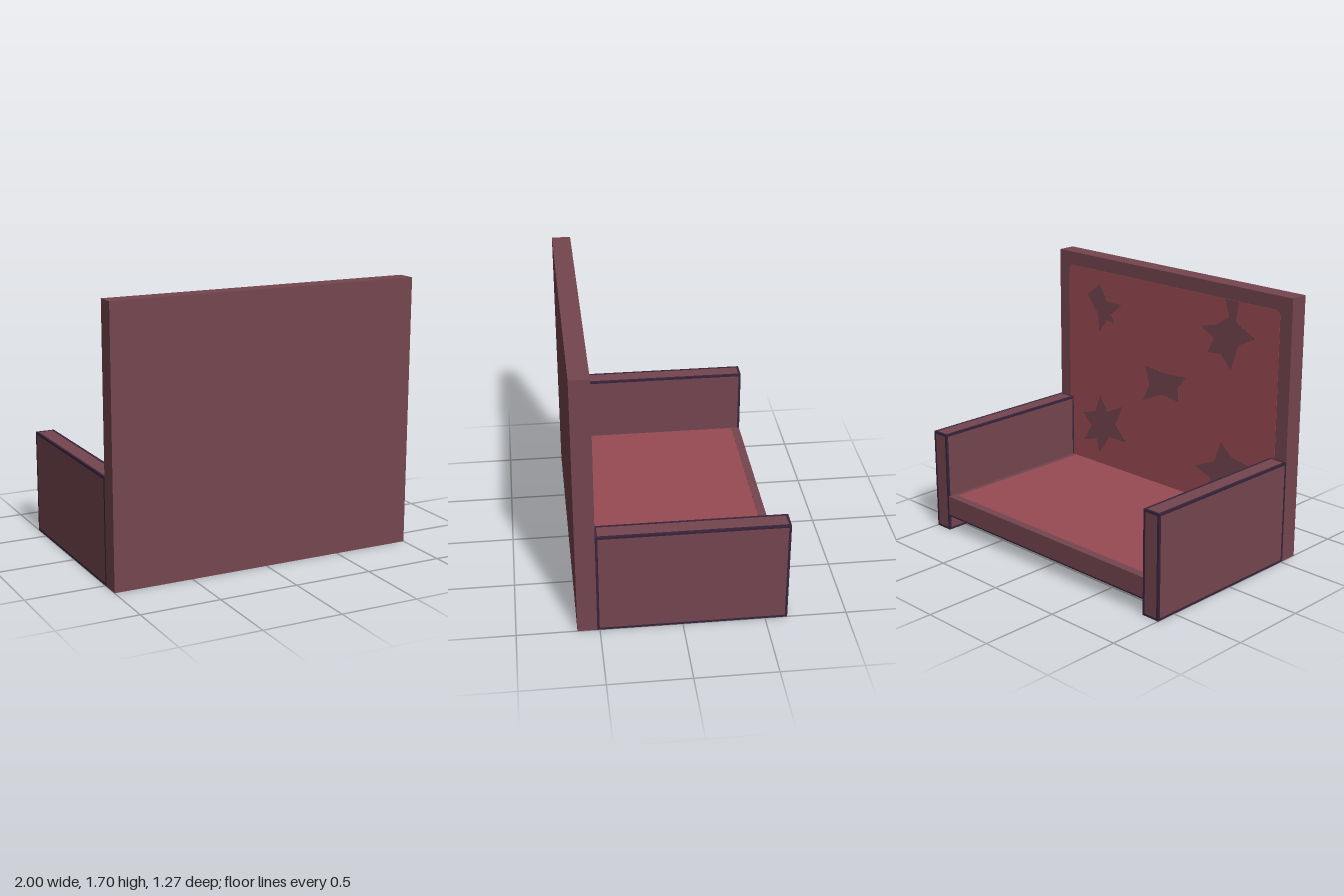
import * as THREE from 'three';

const mat = (name, color) => Object.assign(new THREE.MeshStandardMaterial({ color }), { name });

export function createModel() {
  const frame = mat('plum frame', 0x74454f);
  const cloth = mat('rose cloth', 0x994b54);
  const trim = mat('dark trim', 0x38243a);
  const straw = mat('straw yellow', 0xcfc478);
  const root = new THREE.Group();
  root.name = 'bench';

  // Box given by its minimum and maximum corners
  const box = (name, m, [x0, y0, z0], [x1, y1, z1], parent = root) => {
    const mesh = new THREE.Mesh(new THREE.BoxGeometry(x1 - x0, y1 - y0, z1 - z0), m);
    mesh.position.set((x0 + x1) / 2, (y0 + y1) / 2, (z0 + z1) / 2);
    mesh.name = name;
    parent.add(mesh);
    return mesh;
  };

  // Dark bars along all twelve edges of a box
  const edgeTrim = (name, lo, hi, w) => {
    const g = new THREE.Group();
    g.name = name;
    const e = 0.001;
    for (let axis = 0; axis < 3; axis++) {
      const a = (axis + 1) % 3, b = (axis + 2) % 3;
      for (const sa of [0, 1]) for (const sb of [0, 1]) {
        const p = [0, 0, 0], q = [0, 0, 0];
        p[axis] = lo[axis]; q[axis] = hi[axis];
        p[a] = sa ? hi[a] - w : lo[a] - e; q[a] = sa ? hi[a] + e : lo[a] + w;
        p[b] = sb ? hi[b] - w : lo[b] - e; q[b] = sb ? hi[b] + e : lo[b] + w;
        // Keep the feet on the ground
        p[1] = Math.max(p[1], 0);
        box('trimBar', trim, p, q, g);
      }
    }
    root.add(g);
  };

  // Thin plate on the seat side of the backrest
  const BACK_Z = 0.515;
  const plate = (name, m, shape, depth) => {
    const mesh = new THREE.Mesh(
      new THREE.ExtrudeGeometry(shape, { depth, bevelEnabled: false, curveSegments: 4 }), m);
    mesh.position.z = BACK_Z - depth;
    mesh.name = name;
    root.add(mesh);
  };
  const polygon = pts => new THREE.Shape(pts.map(([x, y]) => new THREE.Vector2(x, y)));
  const roundedRect = (x0, y0, x1, y1, r) => {
    const s = new THREE.Shape();
    s.absarc(x1 - r, y1 - r, r, 0, Math.PI / 2);
    s.absarc(x0 + r, y1 - r, r, Math.PI / 2, Math.PI);
    s.absarc(x0 + r, y0 + r, r, Math.PI, Math.PI * 1.5);
    s.absarc(x1 - r, y0 + r, r, Math.PI * 1.5, Math.PI * 2);
    return s;
  };

  // Backrest with its cloth panel
  box('backrest', frame, [-1, 0, BACK_Z], [1, 1.7, 0.635]);
  plate('backCloth', cloth, roundedRect(-0.91, 0.11, 0.91, 1.61, 0.04), 0.002);

  // Ragged star patches on the cloth
  const patches = [
    [[0.73, 1.43], [0.61, 1.52], [0.54, 1.41], [0.41, 1.41], [0.51, 1.33], [0.465, 1.27],
      [0.55, 1.28], [0.62, 1.19], [0.63, 1.31]],
    [[-0.29, 1.40], [-0.41, 1.43], [-0.52, 1.5], [-0.48, 1.61], [-0.595, 1.61], [-0.57, 1.48],
      [-0.73, 1.40], [-0.595, 1.33], [-0.54, 1.16], [-0.46, 1.25], [-0.35, 1.24], [-0.4, 1.34]],
    [[0.19, 1.04], [0.03, 1.02], [-0.17, 1.03], [-0.1, 0.95], [-0.11, 0.85], [0.04, 0.87],
      [0.21, 0.79], [0.15, 0.91]],
    [[0.61, 0.74], [0.54, 0.63], [0.4, 0.7], [0.465, 0.56], [0.36, 0.45], [0.53, 0.45],
      [0.62, 0.31], [0.65, 0.41], [0.775, 0.37], [0.7, 0.49], [0.78, 0.57], [0.66, 0.61]],
    [[-0.48, 0.67], [-0.57, 0.59], [-0.79, 0.55], [-0.68, 0.43], [-0.72, 0.25], [-0.56, 0.33],
      [-0.36, 0.27], [-0.4, 0.4], [-0.26, 0.45], [-0.43, 0.525]],
  ];
  for (const pts of patches) plate('starPatch', frame, polygon(pts), 0.004);

  // Straw showing low down beneath the seat
  plate('strawPatch', straw, polygon([[0.63, 0.12], [-0.94, 0.125], [-0.94, 0.003], [-0.17, 0.003],
    [0.1, 0.04], [0.4, 0.07], [0.63, 0.1]]), 0.005);

  // Armrests
  for (const s of [-1, 1]) {
    const lo = [s < 0 ? -1 : 0.88, 0, -0.635], hi = [s < 0 ? -0.88 : 1, 0.665, BACK_Z];
    box(s > 0 ? 'leftArm' : 'rightArm', frame, lo, hi);
    edgeTrim(s > 0 ? 'leftArmTrim' : 'rightArmTrim', lo, hi, 0.014);
  }

  // Seat, its plain border, and the front rail
  box('seat', cloth, [-0.88, 0.225, -0.615], [0.88, 0.235, BACK_Z]);
  box('seatFrontBorder', frame, [-0.88, 0.233, -0.62], [0.88, 0.237, -0.58]);
  box('seatSideBorder', frame, [0.855, 0.233, -0.58], [0.88, 0.237, BACK_Z]);
  box('frontRail', frame, [-0.88, 0.1, -0.634], [0.88, 0.237, -0.612]);
  box('frontRailTrim', trim, [-0.88, 0.099, -0.635], [0.88, 0.109, -0.611]);

  // Low crossbar between the arms
  box('crossbar', frame, [-0.88, 0, -0.45], [0.88, 0.11, -0.43]);
  for (const y of [0, 0.102]) box('crossbarTrim', trim, [-0.88, y, -0.451], [0.88, y + 0.009, -0.429]);

  return root;
}
